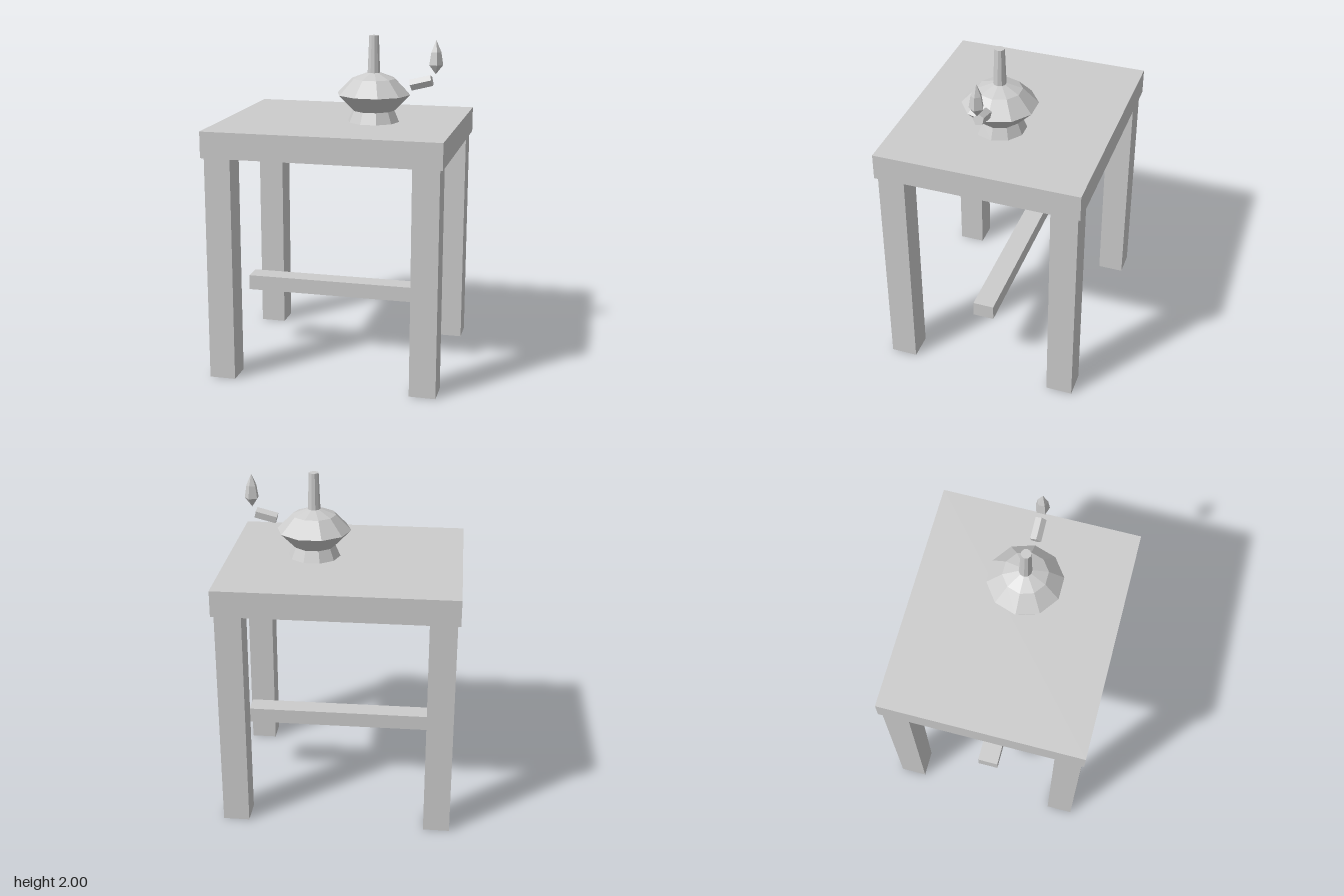
import * as THREE from 'three';

export function createModel() {
  const model = new THREE.Group();
  const grey = new THREE.MeshStandardMaterial({ color: 0xcccccc });
  grey.name = 'plain grey';

  const add = (name, geometry, x, y, z, parent = model) => {
    const mesh = new THREE.Mesh(geometry, grey);
    mesh.name = name;
    mesh.position.set(x, y, z);
    parent.add(mesh);
    return mesh;
  };

  // Faceted solid of revolution, with one corner pointing along +x
  const faceted = (profile, sides) => {
    const points = profile.map(([r, y]) => new THREE.Vector2(r, y));
    const geometry = new THREE.LatheGeometry(points, sides, Math.PI / 2).toNonIndexed();
    geometry.computeVertexNormals();
    return geometry;
  };

  // Table: slab, four legs and a middle rail whose ends stand free
  add('tableTop', new THREE.BoxGeometry(1.394, 0.154, 1.204), 0, 1.416, 0);
  for (const x of [-1, 1]) {
    for (const z of [-1, 1]) {
      const name = (z > 0 ? 'front' : 'back') + (x > 0 ? 'Left' : 'Right') + 'Leg';
      add(name, new THREE.BoxGeometry(0.155, 1.34, 0.157), x * 0.603, 0.67, z * 0.508);
    }
  }
  add('rail', new THREE.BoxGeometry(1.204, 0.092, 0.126), 0, 0.431, 0);

  // Oil lamp standing on the table
  const lamp = new THREE.Group();
  lamp.name = 'lamp';
  lamp.position.z = 0.03;
  model.add(lamp);

  const body = [[0, 1.493], [0.155, 1.493], [0.126, 1.56], [0.22, 1.656], [0.13, 1.748], [0.04, 1.782], [0, 1.782]];
  add('lampBody', faceted(body, 10), 0.187, 0, 0, lamp);

  const neck = [[0, 1.77], [0.038, 1.77], [0.029, 2], [0, 2]];
  add('lampNeck', faceted(neck, 10), 0.187, 0, 0, lamp);

  // Five-sided spout, tilted slightly upwards
  const spoutShape = faceted([[0, -0.064], [0.034, -0.064], [0.034, 0.064], [0, 0.064]], 5);
  spoutShape.rotateY(THREE.MathUtils.degToRad(-98));
  spoutShape.rotateZ(-Math.PI / 2 + 0.25);
  add('spout', spoutShape, 0.472, 1.73, 0, lamp);

  // Flame floating above the spout
  const flame = [[0, 1.783], [0.043, 1.838], [0.031, 1.912], [0, 1.983]];
  add('flame', faceted(flame, 5), 0.555, 0, 0, lamp);

  return model;
}
